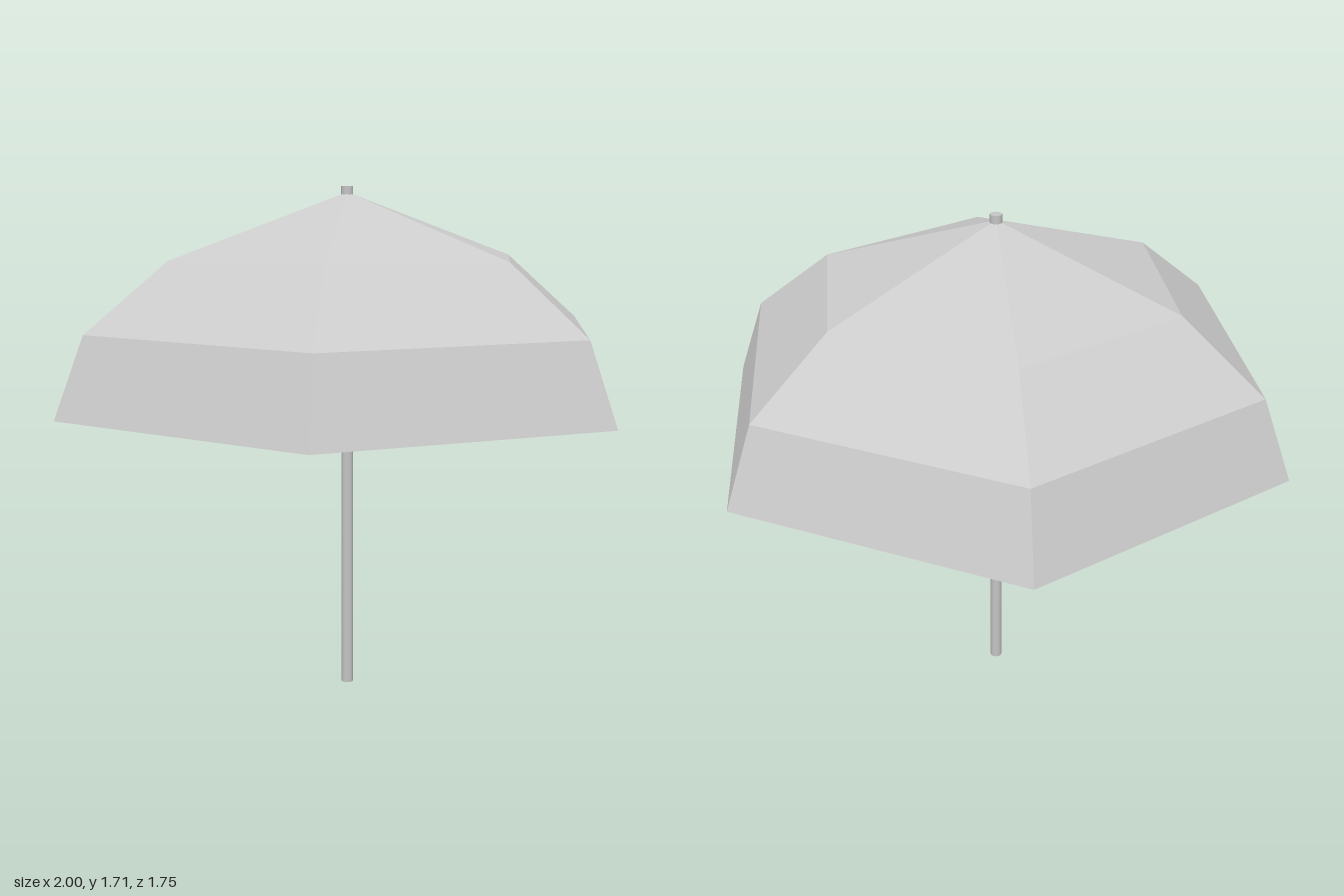
import * as THREE from 'three';

export function createModel() {
  const model = new THREE.Group();
  const canopyGrey = new THREE.MeshStandardMaterial({
    name: 'canopy grey', color: 0xcccccc, flatShading: true, side: THREE.DoubleSide,
  });
  const poleGrey = new THREE.MeshStandardMaterial({ name: 'pole grey', color: 0xc4c4c4 });

  // Six-sided open canopy, turned about one degree on the pole
  const profile = [[1, 0.985], [0.9, 1.25], [0.62, 1.475], [0, 1.69]]
    .map(([r, y]) => new THREE.Vector2(r, y));
  const canopy = new THREE.Mesh(
    new THREE.LatheGeometry(profile, 6, THREE.MathUtils.degToRad(29)), canopyGrey);
  canopy.name = 'canopy';
  model.add(canopy);

  // Straight pole whose tip pokes through the canopy
  const height = 1.71;
  const pole = new THREE.Mesh(new THREE.CylinderGeometry(0.02, 0.02, height, 12), poleGrey);
  pole.name = 'pole';
  pole.position.y = height / 2;
  model.add(pole);

  return model;
}
